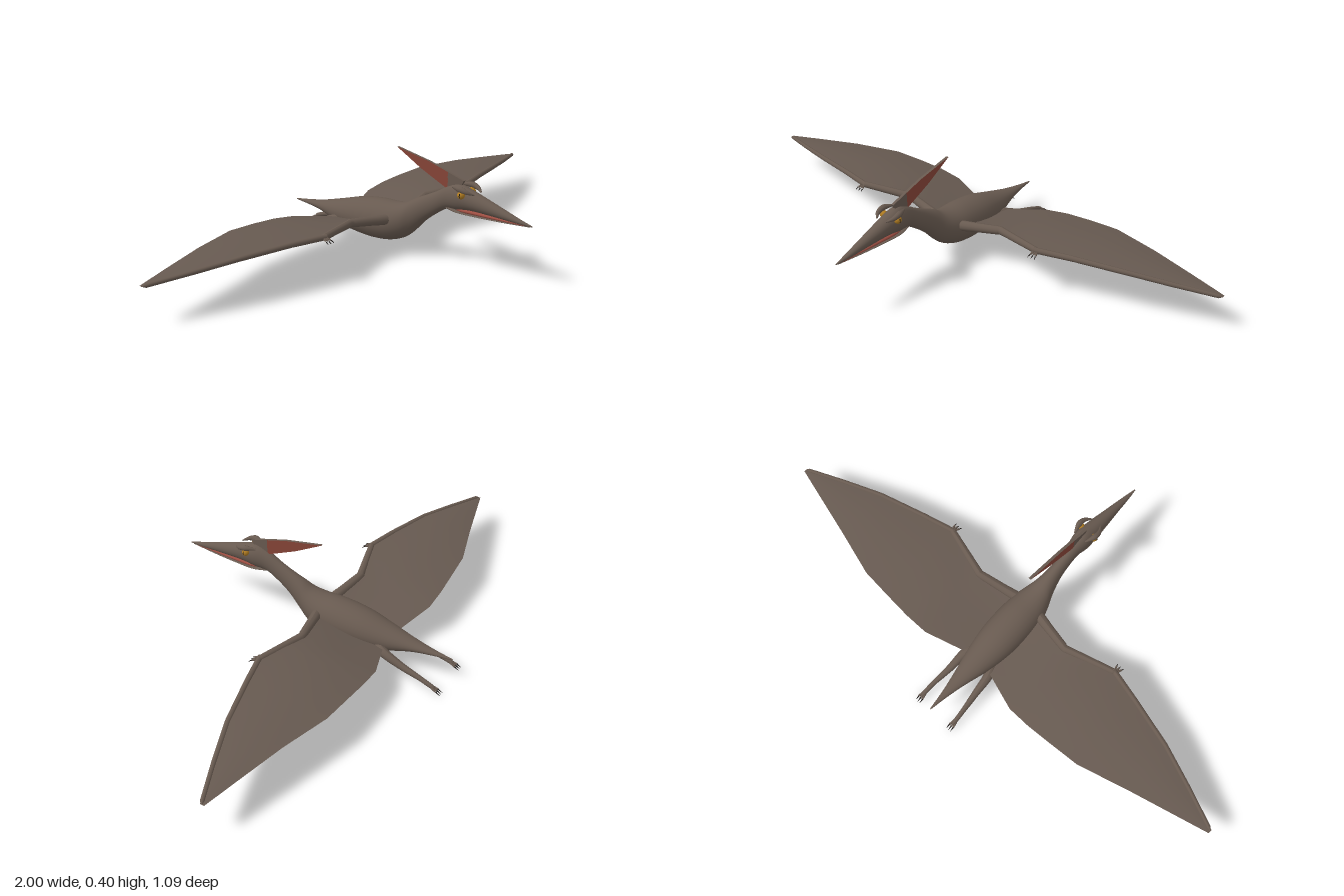
import * as THREE from 'three';

const mat = (name, color, side = THREE.FrontSide) => {
  const m = new THREE.MeshStandardMaterial({ color, side });
  m.name = name;
  return m;
};

export function createModel() {
  const skin = mat('brown skin', 0x685a50);
  const membrane = mat('wing membrane', 0x665950, THREE.DoubleSide);
  const crestRed = mat('crest red', 0x864437);
  const mouthRed = mat('mouth red', 0x9c4e42);
  const amber = mat('amber eye', 0xb07c22);
  const dark = mat('dark claw', 0x1d1917);

  const model = new THREE.Group();
  model.name = 'pterosaur';
  const add = (name, geometry, material, parent = model) => {
    const mesh = new THREE.Mesh(geometry, material);
    mesh.name = name;
    parent.add(mesh);
    return mesh;
  };

  // Closed loft along z; each section is [z, bottom, top, halfWidth]
  function loft(sections, steps = 4, sides = 24) {
    const n = sections.length;
    const heights = new THREE.CatmullRomCurve3(sections.map(s => new THREE.Vector3(s[0], s[1], s[2])));
    const widths = new THREE.CatmullRomCurve3(sections.map(s => new THREE.Vector3(s[0], s[3], 0)));
    const pos = [], idx = [], rings = (n - 1) * steps;
    for (let i = 0; i <= rings; i++) {
      const h = heights.getPoint(i / rings), w = widths.getPoint(i / rings).y;
      for (let j = 0; j < sides; j++) {
        const a = j / sides * Math.PI * 2;
        pos.push(Math.cos(a) * w, (h.y + h.z) / 2 + Math.sin(a) * (h.z - h.y) / 2, h.x);
        if (i < rings) {
          const p = i * sides + j, q = i * sides + (j + 1) % sides;
          idx.push(p, q, p + sides, q, q + sides, p + sides);
        }
      }
    }
    // End caps
    for (let j = 1; j < sides - 1; j++) {
      const e = rings * sides;
      idx.push(0, j + 1, j, e, e + j, e + j + 1);
    }
    const g = new THREE.BufferGeometry();
    g.setAttribute('position', new THREE.Float32BufferAttribute(pos, 3));
    g.setIndex(idx);
    g.computeVertexNormals();
    return g;
  }

  // Tapered limb; each point is [x, y, z, radius], tension 0 keeps joints sharp
  function limb(points, tension = 0.5, segments = 36, sides = 12) {
    const curve = new THREE.CatmullRomCurve3(
      points.map(p => new THREE.Vector3(p[0], p[1], p[2])), false, 'catmullrom', tension);
    const g = new THREE.TubeGeometry(curve, segments, 1, sides);
    const pos = g.attributes.position, v = new THREE.Vector3();
    for (let i = 0; i <= segments; i++) {
      const c = curve.getPointAt(i / segments);
      const t = curve.getUtoTmapping(i / segments) * (points.length - 1);
      const k = Math.min(Math.floor(t), points.length - 2);
      const r = THREE.MathUtils.lerp(points[k][3], points[k + 1][3], t - k);
      for (let j = 0; j <= sides; j++) {
        const id = i * (sides + 1) + j;
        v.fromBufferAttribute(pos, id).sub(c).multiplyScalar(r).add(c);
        pos.setXYZ(id, v.x, v.y, v.z);
      }
    }
    g.computeVertexNormals();
    return g;
  }

  // Body, neck and upper beak
  add('body', loft([
    [-0.545, 0.098, 0.102, 0.002], [-0.47, 0.092, 0.112, 0.014], [-0.4, 0.084, 0.124, 0.029],
    [-0.3, 0.056, 0.15, 0.054], [-0.2, 0.042, 0.177, 0.071], [-0.1, 0.038, 0.19, 0.074],
    [-0.03, 0.05, 0.192, 0.067], [0.015, 0.07, 0.201, 0.054], [0.05, 0.098, 0.22, 0.04],
    [0.1, 0.147, 0.243, 0.028], [0.15, 0.185, 0.267, 0.024], [0.2, 0.214, 0.295, 0.026],
    [0.25, 0.219, 0.311, 0.034], [0.3, 0.226, 0.298, 0.031], [0.4, 0.224, 0.267, 0.02],
    [0.5, 0.2195, 0.235, 0.009], [0.545, 0.219, 0.223, 0.002]]), skin);
  add('lowerJaw', loft([
    [0.2, 0.214, 0.228, 0.015], [0.25, 0.211, 0.22, 0.025], [0.32, 0.211, 0.2175, 0.022],
    [0.42, 0.212, 0.2175, 0.0135], [0.535, 0.217, 0.2195, 0.002]]), skin);
  add('mouth', loft([
    [0.245, 0.215, 0.228, 0.014], [0.27, 0.214, 0.231, 0.019], [0.34, 0.214, 0.23, 0.016],
    [0.42, 0.215, 0.227, 0.011], [0.515, 0.217, 0.2225, 0.004]]), mouthRed);

  // Thin head crest, outlined in z and y, with faces and rim
  function plate(name, points, depth, materials) {
    const shape = new THREE.Shape(points.map(p => new THREE.Vector2(...p)));
    const g = new THREE.ExtrudeGeometry(shape, { depth, bevelEnabled: false });
    g.translate(0, 0, -depth / 2).rotateY(-Math.PI / 2);
    add(name, g, materials);
  }
  plate('crestBase', [[0.268, 0.326], [0.2, 0.346], [0.195, 0.28], [0.25, 0.29], [0.26, 0.312]], 0.01, skin);
  plate('crest', [[0.2, 0.346], [0.12, 0.369], [-0.026, 0.398], [0.08, 0.339], [0.19, 0.289], [0.2, 0.285]], 0.01, [crestRed, skin]);

  // Wing stations: [x, leading z, leading y, trailing z, trailing y, camber]
  const stations = [
    [0.04, -0.035, 0.14, -0.3, 0.09, -0.01], [0.21, -0.075, 0.158, -0.357, 0.121, 0.004],
    [0.3, -0.045, 0.166, -0.36, 0.134, 0.01], [0.4, -0.018, 0.17, -0.355, 0.143, 0.012],
    [0.52, -0.045, 0.17, -0.347, 0.15, 0.011], [0.7, -0.09, 0.164, -0.296, 0.151, 0.008],
    [0.86, -0.147, 0.146, -0.253, 0.141, 0.004], [1, -0.2, 0.131, -0.215, 0.131, 0]];
  function wingSheet(s) {
    const rows = 8, pos = [], idx = [];
    stations.forEach(([x, zl, yl, zt, yt, camber], i) => {
      for (let j = 0; j <= rows; j++) {
        const v = j / rows;
        const lift = camber * Math.sin(Math.PI * v);
        pos.push(s * x, THREE.MathUtils.lerp(yl, yt, v) + lift, THREE.MathUtils.lerp(zl, zt, v));
        if (i < stations.length - 1 && j < rows) {
          const a = i * (rows + 1) + j, b = a + 1, c = a + rows + 1, d = c + 1;
          if (s > 0) idx.push(a, c, b, b, c, d);
          else idx.push(a, b, c, b, d, c);
        }
      }
    });
    const g = new THREE.BufferGeometry();
    g.setAttribute('position', new THREE.Float32BufferAttribute(pos, 3));
    g.setIndex(idx);
    g.computeVertexNormals();
    return g;
  }

  // Slim digit ending in a dark claw
  function digit(name, points, parent) {
    const [a, b, c] = points;
    add(name, limb([a, b], 0.5, 6, 8), skin, parent);
    add(name + 'Claw', limb([b, c], 0.5, 6, 8), dark, parent);
  }

  for (const s of [1, -1]) {
    const side = s > 0 ? 'left' : 'right';
    const wing = new THREE.Group();
    wing.name = side + 'Wing';
    model.add(wing);
    add('wingMembrane', wingSheet(s), membrane, wing);
    add('arm', limb([[s * 0.03, 0.134, -0.03, 0.02], [s * 0.1, 0.142, -0.046, 0.018],
      [s * 0.21, 0.156, -0.069, 0.015], [s * 0.4, 0.167, -0.016, 0.011],
      [s * 0.41, 0.167, -0.016, 0.002]], 0), skin, wing);
    add('wingFinger', limb([[s * 0.39, 0.167, -0.014, 0.011], [s * 0.52, 0.168, -0.046, 0.01],
      [s * 0.7, 0.161, -0.093, 0.009], [s * 0.86, 0.145, -0.15, 0.008],
      [s * 0.996, 0.131, -0.203, 0.007], [s * 1, 0.131, -0.206, 0.001]], 0, 48), skin, wing);
    for (const k of [-1, 0, 1]) {
      digit('handFinger', [[s * (0.4 + k * 0.006), 0.165, -0.008, 0.005],
        [s * (0.4 + k * 0.011), 0.16, 0.007, 0.003],
        [s * (0.4 + k * 0.014), 0.152, 0.019, 0.0004]], wing);
    }

    // Trailing leg with clawed toes
    const leg = new THREE.Group();
    leg.name = side + 'Leg';
    model.add(leg);
    add('shin', limb([[s * 0.035, 0.09, -0.265, 0.018], [s * 0.06, 0.078, -0.31, 0.018],
      [s * 0.067, 0.052, -0.385, 0.013], [s * 0.075, 0.036, -0.46, 0.009],
      [s * 0.078, 0.02, -0.51, 0.008], [s * 0.078, 0.017, -0.522, 0.001]]), skin, leg);
    for (const k of [-1, 0, 1]) {
      digit('toe', [[s * 0.078 + k * 0.004, 0.021, -0.505, 0.005],
        [s * 0.078 + k * 0.009, 0.012, -0.528, 0.0035],
        [s * 0.078 + k * 0.01, 0.002, -0.545, 0.0004]], leg);
    }

    // Eye, slit pupil and overhanging brow ridge
    const eye = add(side + 'Eye', new THREE.SphereGeometry(0.014, 20, 14), amber);
    eye.position.set(s * 0.031, 0.284, 0.277);
    const pupil = add(side + 'Pupil', new THREE.SphereGeometry(0.008, 12, 10), dark);
    pupil.position.set(s * 0.0418, 0.284, 0.279);
    pupil.scale.set(0.5, 1, 0.35);
    add(side + 'Brow', limb([[s * 0.02, 0.29, 0.325, 0.002], [s * 0.035, 0.299, 0.301, 0.008],
      [s * 0.037, 0.306, 0.273, 0.011], [s * 0.025, 0.304, 0.236, 0.003]], 0.5, 16, 10), skin);
  }
  return model;
}
